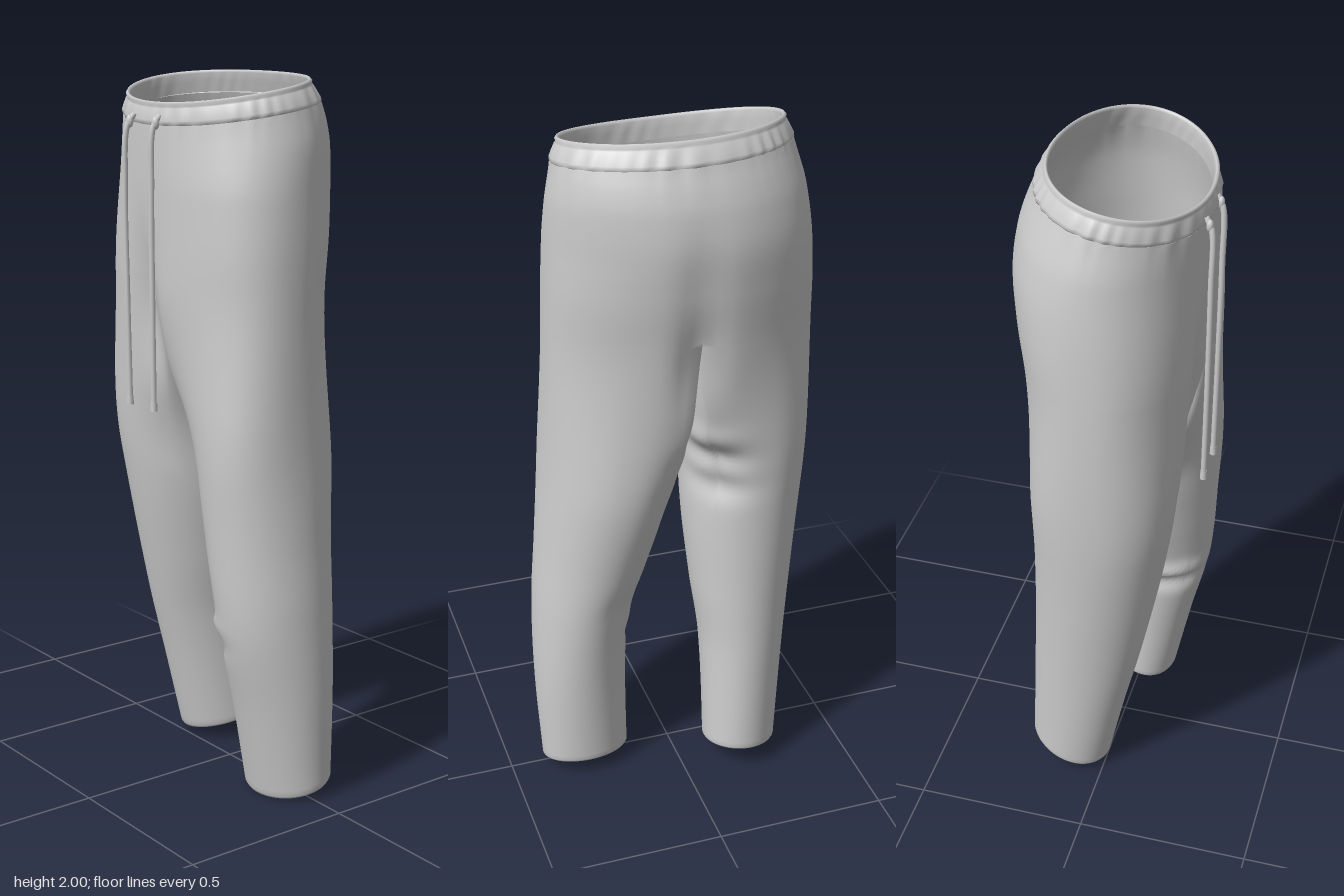
import * as THREE from 'three';
import { mergeGeometries, mergeVertices } from 'three/addons/utils/BufferGeometryUtils.js';

const SEAM = -0.03, SPLIT = 1.45, M = 44, K = 22;
const lerp = THREE.MathUtils.lerp, smooth = THREE.MathUtils.smoothstep;

// Smooth curve through [y, value] keys listed from top to bottom
function curve(keys) {
  const slope = i => {
    const a = keys[Math.max(i - 1, 0)], b = keys[Math.min(i + 1, keys.length - 1)];
    return (b[1] - a[1]) / (b[0] - a[0]);
  };
  return y => {
    if (y >= keys[0][0]) return keys[0][1];
    for (let i = 0; i < keys.length - 1; i++) {
      const [y0, a] = keys[i], [y1, b] = keys[i + 1];
      if (y < y1) continue;
      const h = y1 - y0, t = (y - y0) / h, t2 = t * t, t3 = t2 * t;
      return (2 * t3 - 3 * t2 + 1) * a + (t3 - 2 * t2 + t) * h * slope(i)
        + (3 * t2 - 2 * t3) * b + (t3 - t2) * h * slope(i + 1);
    }
    return keys[keys.length - 1][1];
  };
}

// Outline of each leg (continued up to the waist) against height;
// sway moves the outer hip forward, twist turns the leg's section
const LEFT = {
  out: curve([[1.97, 0.293], [1.9, 0.308], [1.8, 0.325], [1.6, 0.335], [1.3, 0.343], [1, 0.36], [0.75, 0.383], [0.55, 0.402], [0.3, 0.41], [0, 0.40]]),
  in: curve([[1.45, -0.03], [1.2, -0.032], [1.05, -0.003], [0.85, 0.03], [0.7, 0.065], [0.5, 0.115], [0.3, 0.13], [0, 0.135]]),
  front: curve([[1.95, 0.242], [1.85, 0.246], [1.6, 0.246], [1.45, 0.246], [1.1, 0.241], [0.8, 0.226], [0.5, 0.204], [0.25, 0.15], [0, 0.1]]),
  back: curve([[1.98, -0.202], [1.93, -0.217], [1.88, -0.238], [1.82, -0.257], [1.72, -0.27], [1.6, -0.26], [1.45, -0.24], [1.1, -0.205], [0.9, -0.185], [0.7, -0.153], [0.5, -0.128], [0.3, -0.117], [0, -0.11]]),
  hem: p => 0.024 - 0.24 * p.z,
  sway: y => 0.04 * smooth(1.92 - y, 0, 0.25),
  twist: y => lerp(0.08, -0.2, smooth(y, 0.3, 1.1)),
};
const RIGHT = {
  out: curve([[1.97, -0.334], [1.9, -0.354], [1.8, -0.38], [1.6, -0.402], [1.3, -0.41], [1, -0.402], [0.7, -0.375], [0.4, -0.342], [0, -0.302]]),
  in: curve([[1.45, -0.03], [1.2, -0.045], [1.05, -0.058], [0.85, -0.045], [0.6, -0.06], [0.4, -0.08], [0, -0.078]]),
  front: curve([[1.6, 0.246], [1.45, 0.246], [1.3, 0.236], [1.1, 0.214], [0.8, 0.17], [0.5, 0.112], [0.25, 0.055], [0, 0.002]]),
  back: curve([[1.6, -0.26], [1.45, -0.24], [1.1, -0.207], [0.95, -0.198], [0.7, -0.205], [0.4, -0.22], [0, -0.245]]),
  hem: p => 0.015 - 0.2 * p.z + 0.1 * (p.x + 0.3),
  sway: () => 0,
  twist: y => -0.15 * smooth(1.1 - y, 0, 1),
};

// Cloth folds: [centre, radii, push]
const FOLDS = [
  [[-0.095, 1.36, 0.24], [0.055, 0.2, 0.12], [0, 0, -0.045]],
  [[-0.02, 1.65, -0.26], [0.06, 0.16, 0.15], [0, 0, 0.015]],
  [[-0.02, 1.38, -0.24], [0.055, 0.15, 0.1], [0, 0, 0.035]],
  [[0.12, 0.495, 0.12], [0.09, 0.028, 0.14], [-0.015, 0, 0.014]],
  [[0.12, 0.445, 0.12], [0.09, 0.03, 0.14], [0.018, 0, -0.014]],
  [[0.14, 0.58, -0.12], [0.08, 0.06, 0.08], [0, 0, 0.01]],
  [[-0.09, 1.13, -0.13], [0.08, 0.035, 0.1], [0.014, 0, -0.01]],
  [[-0.09, 1.06, -0.13], [0.09, 0.035, 0.1], [-0.016, 0, 0.013]],
  [[-0.1, 0.96, -0.14], [0.1, 0.04, 0.1], [-0.012, 0, 0.012]],
];
function fold(p) {
  const q = p.clone();
  for (const [c, r, d] of FOLDS) {
    const g = Math.exp(-(((p.x - c[0]) / r[0]) ** 2 + ((p.y - c[1]) / r[1]) ** 2 + ((p.z - c[2]) / r[2]) ** 2));
    q.addScaledVector(new THREE.Vector3(...d), g);
  }
  return q;
}

const pw = (v, e) => Math.sign(v) * Math.abs(v) ** e;
const roundness = y => lerp(0.9, 1, smooth(y, 1.5, 1.85));

// Half of the hip outline, from the front seam (-90 deg) round to the back seam
function half(side, phi, y) {
  const e = roundness(y), own = y < SPLIT ? side : LEFT;
  const f = own.front(y), b = own.back(y), c = Math.max(Math.cos(phi), 0);
  return new THREE.Vector3(SEAM + (side.out(y) - SEAM) * pw(c, e), y,
    (f + b) / 2 - (f - b) / 2 * pw(Math.sin(phi), e) + side.sway(y) * c);
}

// Full leg outline, same direction
function legRing(side, a, y) {
  const o = side.out(y), i = side.in(y), f = side.front(y), b = side.back(y);
  const e = lerp(1, 0.88, smooth(y, 0.6, 1.3));
  return new THREE.Vector3((o + i) / 2 + (o - i) / 2 * pw(Math.cos(a), e), y,
    (f + b) / 2 - (f - b) / 2 * pw(Math.sin(a + side.twist(y)), e));
}

// Skin over closed rows of points that run downward
function loft(rows, flip) {
  const n = rows[0].length, pos = [], idx = [];
  rows.forEach(r => r.forEach(p => pos.push(p.x, p.y, p.z)));
  for (let i = 0; i < rows.length - 1; i++) for (let j = 0; j < n; j++) {
    const a = i * n + j, b = i * n + (j + 1) % n, c = a + n, d = b + n;
    if (flip) idx.push(a, b, c, b, d, c); else idx.push(a, c, b, b, c, d);
  }
  const g = new THREE.BufferGeometry();
  g.setAttribute('position', new THREE.Float32BufferAttribute(pos, 3));
  g.setIndex(idx);
  return g;
}

function legPoint(side, j, v, inset) {
  const outer = j <= M, s = (j - M) / K;
  const phi = -Math.PI / 2 + Math.PI * j / M;
  const a = outer ? phi * 1.5 : Math.PI * (0.75 + 0.5 * s);
  const top = outer ? SPLIT : SPLIT - 0.2 * Math.sin(Math.PI * s) ** 0.8;
  const y = lerp(top, side.hem(legRing(side, a, 0.03)), v);
  // The hip half (closed by the crotch curve) turns into the round leg
  const level = v === 0 ? SPLIT : y;
  const start = outer ? half(side, phi, y)
    : new THREE.Vector3(SEAM, y, lerp(side.back(level), side.front(level), s));
  const p = start.lerp(legRing(side, a, y), smooth(v, 0, 0.38));
  const c = new THREE.Vector3((side.out(y) + side.in(y)) / 2, y, (side.front(y) + side.back(y)) / 2);
  return fold(p.lerp(c, inset));
}

function leg(side, flip) {
  const rows = [];
  const row = (v, inset) => rows.push(Array.from({ length: M + K }, (_, j) => legPoint(side, j, v, inset)));
  for (let i = 0; i <= 90; i++) row(i / 90 * 0.995, 0);
  row(1, 0.03);
  row(0.995, 0.07);
  row(0.975, 0.06);
  return loft(rows, flip);
}

// All points round the hips: left half front to back, then right half back to front
const around = fn => Array.from({ length: 4 * M }, (_, i) => {
  const j = i / 2, left = j <= M, k = left ? j : 2 * M - j;
  return fn(left ? LEFT : RIGHT, -Math.PI / 2 + Math.PI * k / M, j / M * Math.PI);
});
// The waist dips at the front and rises a little to the right
function bandY(side, phi) {
  const { x, z } = half(side, phi, 1.91);
  return 1.916 - 0.15 * z - 0.24 * z * z - 0.02 * x;
}
const gather = t => Math.sin(33 * t + 2 * Math.sin(5 * t)) * (0.6 + 0.4 * Math.sin(7 * t));
function pushOut(p, d) {
  const n = new THREE.Vector3(p.x + 0.025, 0, p.z - 0.01).normalize();
  return p.addScaledVector(n, d);
}

function hips() {
  const rows = [];
  for (let i = 0; i <= 32; i++) {
    const v = i / 32;
    // Only every second point, to match the legs
    rows.push(around((side, phi, t) => {
      const p = fold(half(side, phi, lerp(bandY(side, phi), SPLIT, v)));
      return pushOut(p, 0.004 * gather(t) * Math.exp(-v * 8) * (1 - v));
    }).filter((_, j) => j % 2 === 0));
  }
  return loft(rows);
}

// Elastic band: [outward, up, gather] from the inside edge over the rim to the outside
function waistband() {
  const profile = [[-0.022, 0, 0], [-0.026, 0.03, 0.002], [-0.029, 0.054, 0], [-0.026, 0.061, 0], [-0.021, 0.062, 0],
    [-0.016, 0.056, 0], [-0.019, 0.049, 0], [-0.015, 0.045, 0.001], [-0.008, 0.03, 0.003], [0, 0.012, 0.004], [0.001, 0.002, 0.003], [-0.005, -0.003, 0]];
  return loft(profile.map(([o, u, w]) => around((side, phi, t) => {
    const p = half(side, phi, bandY(side, phi));
    p.y += u;
    p.z += u * 0.2;
    return pushOut(p, o + w * gather(t));
  })));
}

export function createModel() {
  const group = new THREE.Group();
  const mat = new THREE.MeshStandardMaterial({ color: 0xcccccc, side: THREE.DoubleSide });
  const add = (name, geo) => {
    const m = new THREE.Mesh(geo, mat);
    m.name = name;
    group.add(m);
    return m;
  };
  const smoothed = g => {
    const s = mergeVertices(g, 1e-5);
    s.computeVertexNormals();
    return s;
  };

  add('trousers', smoothed(mergeGeometries([hips(), leg(LEFT, false), leg(RIGHT, true)])));
  add('waistband', smoothed(waistband()));

  // Drawstrings with tips and eyelet knots
  for (const [name, xs] of [['rightDrawstring', [-0.112, -0.122, -0.131, -0.128, -0.125]], ['leftDrawstring', [0.008, 0.001, -0.004, -0.006, -0.008]]]) {
    const ys = [1.892, 1.86, 1.7, 1.4, 1.1], zs = [0.24, 0.258, 0.262, 0.261, 0.258];
    const path = new THREE.CatmullRomCurve3(xs.map((x, i) => new THREE.Vector3(x, ys[i], zs[i])));
    add(name, new THREE.TubeGeometry(path, 48, 0.008, 10));
    add(name + 'Tip', new THREE.CylinderGeometry(0.009, 0.01, 0.026, 12)).position.set(xs[4], 1.098, zs[4]);
    const knot = add(name + 'Knot', new THREE.SphereGeometry(0.011, 12, 8));
    knot.position.set(xs[1] + 0.003, 1.872, 0.252);
    knot.scale.set(1, 1.6, 0.9);
  }
  return group;
}
